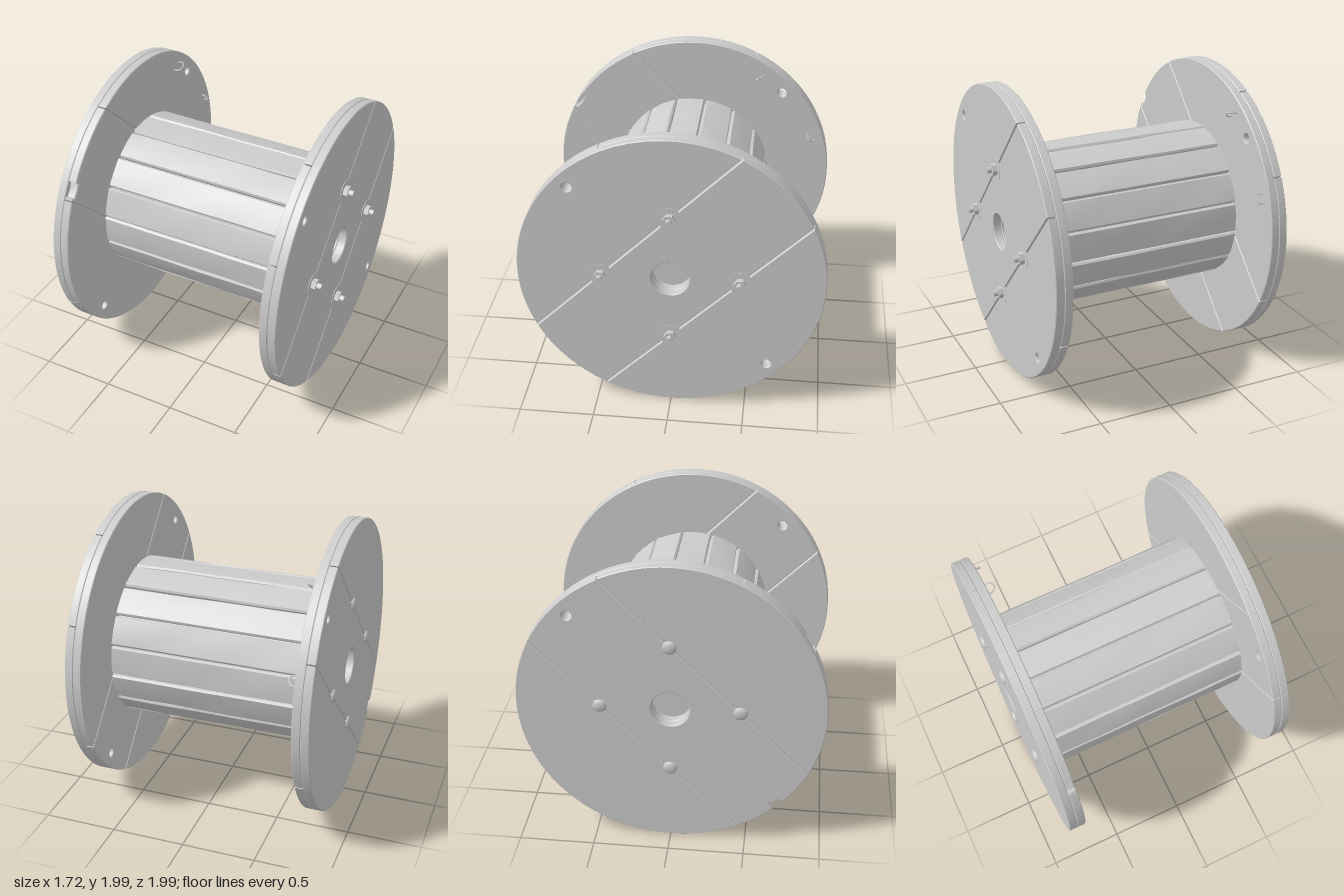
import * as THREE from 'three';
import { toCreasedNormals } from 'three/addons/utils/BufferGeometryUtils.js';

const RADIUS = 0.997, SEAM = 0.32, PLY = 0.058, SLATS = 16;
const wood = new THREE.MeshStandardMaterial({ color: 0xcccccc });
const metal = new THREE.MeshStandardMaterial({ color: 0xcccccc });

function add(parent, name, geometry, material = wood) {
  const mesh = new THREE.Mesh(geometry, material);
  mesh.name = name;
  parent.add(mesh);
  return mesh;
}

// Points along the rim between two angles; notches are [from, to, depth]
function rim(from, to, notches) {
  const pts = [];
  const n = Math.ceil(Math.abs(to - from) / 0.05);
  const angles = [];
  for (let i = 0; i <= n; i++) angles.push([from + ((to - from) * i) / n, RADIUS]);
  let out = angles;
  for (const [a, b, depth] of notches) {
    if (b < from || a > to) continue;
    const cut = [[a, RADIUS], [a + 0.004, RADIUS - depth], [(a + b) / 2, RADIUS - depth * 1.2],
      [b - 0.004, RADIUS - depth * 0.8], [b, RADIUS]].filter(([t]) => t >= from && t <= to);
    out = out.filter(([t]) => t < a || t > b).concat(cut).sort((p, q) => p[0] - q[0]);
  }
  for (const [t, r] of out) pts.push(new THREE.Vector2(r * Math.cos(t), r * Math.sin(t)));
  return pts;
}

function circleHole(x, y, r) {
  return new THREE.Path().absarc(x, y, r, 0, Math.PI * 2, true);
}

// One layer of three boards cut to a disc, seams along local x
function makePly(parent, name, holes, notches) {
  const ply = new THREE.Group();
  ply.name = name;
  parent.add(ply);
  const gap = 0.004;
  const inner = Math.asin((SEAM - gap) / RADIUS), outer = Math.asin((SEAM + gap) / RADIUS);
  const boards = [
    rim(outer, Math.PI - outer, notches),
    [...rim(-inner, inner, notches), ...rim(Math.PI - inner, Math.PI + inner, notches)],
    rim(Math.PI + outer, 2 * Math.PI - outer, notches),
  ];
  boards.forEach((pts, i) => {
    const shape = new THREE.Shape(pts);
    if (i === 1) shape.holes.push(circleHole(0, 0, 0.125));
    for (const [x, y] of holes) {
      const index = y > SEAM ? 0 : y < -SEAM ? 2 : 1;
      if (index === i) shape.holes.push(circleHole(x, y, 0.032));
    }
    const bevel = 0.005;
    const geo = new THREE.ExtrudeGeometry(shape, {
      depth: PLY - 2 * bevel, bevelThickness: bevel, bevelSize: bevel,
      bevelOffset: -bevel, bevelSegments: 1, curveSegments: 12,
    });
    geo.translate(0, 0, bevel - PLY / 2);
    add(ply, 'flangeBoard', toCreasedNormals(geo, 0.5));
  });
  return ply;
}

// Two crossed plies; side is +1 or -1 along x
function makeFlange(name, side, outerHoles, innerHoles, outerNotches, innerNotches) {
  const flange = new THREE.Group();
  flange.name = name;
  const disc = new THREE.Group();
  disc.name = 'disc';
  disc.rotation.y = Math.PI / 2;
  flange.add(disc);
  const outer = makePly(disc, 'outerPly', outerHoles, outerNotches);
  outer.rotation.z = Math.PI / 4;
  outer.position.z = (side * PLY) / 2;
  const inner = makePly(disc, 'innerPly', innerHoles, innerNotches);
  inner.rotation.z = -Math.PI / 4;
  inner.position.z = (-side * PLY) / 2;

  // Four through bolts: nuts on one side, domed heads on the other
  for (let i = 0; i < 4; i++) {
    const a = (i * Math.PI) / 2;
    const bolt = new THREE.Group();
    bolt.name = side > 0 ? 'boltEnd' : 'boltHead';
    bolt.position.set(side * PLY, 0.45 * Math.sin(a), 0.45 * Math.cos(a));
    bolt.rotation.z = (-side * Math.PI) / 2;
    flange.add(bolt);
    const stack = (part, r, from, to, sides) => {
      const geo = new THREE.CylinderGeometry(r, r, to - from, sides);
      geo.translate(0, (from + to) / 2, 0);
      add(bolt, part, toCreasedNormals(geo, 0.7), metal);
    };
    if (side > 0) {
      stack('washer', 0.078, -0.01, 0.003, 24);
      stack('nut', 0.042, 0, 0.034, 6);
      stack('threadedEnd', 0.021, 0, 0.066, 12);
    } else {
      const dome = [[0.046, -0.01], [0.046, 0.004], [0.036, 0.014], [0.02, 0.019], [0, 0.021]];
      const geo = new THREE.LatheGeometry(dome.map(([r, y]) => new THREE.Vector2(r, y)), 20);
      add(bolt, 'domedHead', geo, metal);
    }
  }
  return flange;
}

// One drum slat, slightly worn along its length
function makeSlat(index, length) {
  const step = (Math.PI * 2) / SLATS, half = step / 2 - 0.008;
  const wobble = (k) => Math.sin(index * 12.9 + k * 4.7);
  const r = 0.55 + 0.006 * wobble(1);
  const polar = (radius, t) => new THREE.Vector2(radius * Math.cos(t), radius * Math.sin(t));
  const shape = new THREE.Shape([
    polar(0.49, -half), polar(r - 0.012, -half), polar(r, -half + 0.02), polar(r - 0.002, 0),
    polar(r, half - 0.02), polar(r - 0.012, half), polar(0.49, half),
  ]);
  const geo = new THREE.ExtrudeGeometry(shape, { depth: length, steps: 12, bevelEnabled: false });
  const p = geo.attributes.position;
  for (let i = 0; i < p.count; i++) {
    const x = p.getX(i), y = p.getY(i), z = p.getZ(i);
    if (Math.hypot(x, y) < 0.51) continue;
    const dent = 0.005 * Math.sin(z * 7 + index * 2.3 + y * 25) * Math.sin(z * 3.1 + index);
    const s = 1 + dent + 0.004 * wobble(2) * (z / length - 0.5);
    p.setXY(i, x * s, y * s);
  }
  geo.translate(0, 0, -length / 2);
  geo.rotateZ((index + 0.5) * step - 0.14);
  return toCreasedNormals(geo, 0.5);
}

export function createModel() {
  const spool = new THREE.Group();
  spool.name = 'cableSpool';

  // Flanges, each a little out of true
  const acrossSeams = [[0, 0.9], [0, -0.9]], alongSeams = [[0.9, 0], [-0.9, 0]];
  const nutFlange = makeFlange('leftFlange', 1, acrossSeams, alongSeams, [], []);
  nutFlange.position.set(0.727, 1, 0);
  nutFlange.rotation.set(0, -0.006, -0.01);
  const headFlange = makeFlange('rightFlange', -1, alongSeams, acrossSeams,
    [[Math.PI - 0.045, Math.PI + 0.04, 0.05]],
    [[Math.PI + 0.2, Math.PI + 0.31, 0.03]]);
  headFlange.position.set(-0.783, 1, 0);
  headFlange.rotation.z = -0.005;
  spool.add(nutFlange, headFlange);

  // Drum of slats around a solid core
  const drum = new THREE.Group();
  drum.name = 'drum';
  drum.position.set(-0.028, 1.01, -0.01);
  drum.rotation.y = Math.PI / 2;
  spool.add(drum);
  for (let i = 0; i < SLATS; i++) add(drum, 'slat', makeSlat(i, 1.4));
  const core = new THREE.CylinderGeometry(0.515, 0.515, 1.385, 32);
  core.rotateX(Math.PI / 2);
  add(drum, 'core', core);

  // Bent wire staples on the inside of the right flange
  const wire = [[-0.02, 0, -0.02], [0.035, 0.02, -0.025], [0.062, 0.012, 0],
    [0.04, -0.02, 0.025], [-0.02, -0.02, 0.03]];
  for (const [y, z, turn] of [[1.76, -0.48, 0], [1.3, -0.86, Math.PI / 2]]) {
    const curve = new THREE.CatmullRomCurve3(wire.map((c) => new THREE.Vector3(...c)));
    const staple = add(spool, 'staple', new THREE.TubeGeometry(curve, 24, 0.005, 6), metal);
    staple.position.set(-0.725, y, z);
    staple.rotation.x = turn;
  }
  return spool;
}
